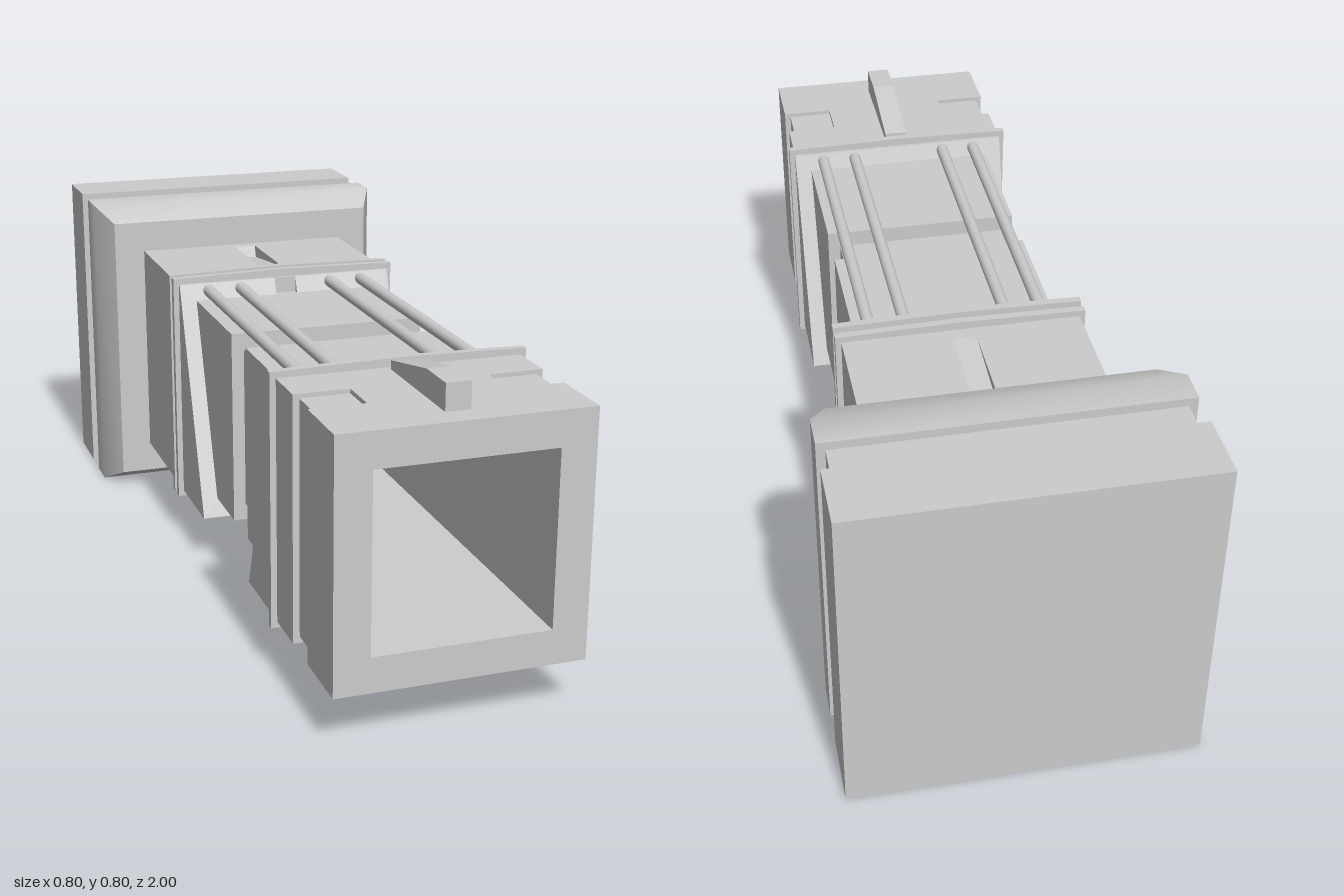
import * as THREE from 'three';
import { mergeGeometries } from 'three/addons/utils/BufferGeometryUtils.js';

const grey = new THREE.MeshStandardMaterial({ color: 0xcccccc });
const greyDouble = new THREE.MeshStandardMaterial({ color: 0xcccccc, side: THREE.DoubleSide });

// Polygon from [x, y] pairs, with an optional centred square hole
function outline(pts, hole = 0) {
  const shape = new THREE.Shape(pts.map(([x, y]) => new THREE.Vector2(x, y)));
  if (hole) {
    const h = [[-1, -1], [-1, 1], [1, 1], [1, -1]];
    shape.holes.push(new THREE.Path(h.map(([x, y]) => new THREE.Vector2(x * hole, 0.4 + y * hole))));
  }
  return shape;
}

const rect = (w, y0, y1) => [[-w, y0], [w, y0], [w, y1], [-w, y1]];

// Extrude a front outline from z0 to z1
function alongZ(shape, z0, z1) {
  return new THREE.ExtrudeGeometry(shape, { depth: z1 - z0, bevelEnabled: false }).translate(0, 0, z0);
}

// Extrude a side profile of [z, y] pairs symmetrically across x
function acrossX(profile, width) {
  const shape = outline(profile.map(([z, y]) => [-z, y]));
  return new THREE.ExtrudeGeometry(shape, { depth: width, bevelEnabled: false })
    .translate(0, 0, -width / 2).rotateY(Math.PI / 2);
}

// Lean one end face: zEnd moves to zBottom at y 0.12 and zTop at y 0.68
function slantEnd(geo, zEnd, zBottom, zTop) {
  const p = geo.attributes.position;
  for (let i = 0; i < p.count; i++) {
    if (Math.abs(p.getZ(i) - zEnd) < 1e-4) {
      p.setZ(i, zBottom + (zTop - zBottom) * (p.getY(i) - 0.12) / 0.56);
    }
  }
  geo.computeVertexNormals();
  return geo;
}

export function createModel() {
  const model = new THREE.Group();
  const add = (name, geo, mat = grey) => {
    const mesh = new THREE.Mesh(geo, mat);
    mesh.name = name;
    model.add(mesh);
    return mesh;
  };

  // Wide end block and the recess in front of it
  add('endBlock', alongZ(outline(rect(0.4, 0, 0.8)), -1, -0.84));
  add('endRecess', alongZ(outline(rect(0.38, 0.025, 0.78)), -0.84, -0.76));

  // Collar with softly shaded bevel: one strip per side
  const sides = [];
  for (let i = 0; i < 4; i++) {
    const strip = new THREE.BufferGeometry();
    const rings = [[0.4, -0.76], [0.4, -0.68], [0.36, -0.6]];
    strip.setAttribute('position', new THREE.Float32BufferAttribute(
      rings.flatMap(([r, z]) => [-r, r, z, r, r, z]), 3));
    strip.setIndex([0, 2, 1, 1, 2, 3, 2, 4, 3, 3, 4, 5]);
    strip.computeVertexNormals();
    sides.push(strip.rotateZ(i * Math.PI / 2).translate(0, 0.4, 0));
  }
  add('collarSides', mergeGeometries(sides));
  add('collarFront', new THREE.PlaneGeometry(0.72, 0.72).translate(0, 0.4, -0.6));
  add('collarBack', new THREE.PlaneGeometry(0.8, 0.8).rotateY(Math.PI).translate(0, 0.4, -0.76));

  // Rear body, slotted on top and leaning at its front
  const slotted = [[-0.28, 0.12], [0.28, 0.12], [0.28, 0.68], [0.028, 0.68],
    [0.028, 0.64], [-0.028, 0.64], [-0.028, 0.68], [-0.28, 0.68]];
  add('rearBody', slantEnd(alongZ(outline(slotted, 0.2), -0.6, 0), 0, 0, -0.2));
  add('slotFloor', acrossX([[-0.6, 0.64], [-0.2, 0.64], [-0.2, 0.68], [-0.3, 0.68],
    [-0.56, 0.65], [-0.57, 0.68], [-0.6, 0.68]], 0.056));

  // Narrow middle section
  add('middleRear', alongZ(outline(rect(0.24, 0.165, 0.64), 0.2), -0.22, 0.14));
  add('middleCore', alongZ(outline(rect(0.21, 0.205, 0.6), 0.19), 0.14, 0.26));
  add('middleFront', alongZ(outline(rect(0.24, 0.165, 0.64), 0.2), 0.26, 0.62));

  // Front body with a waist groove and a leaning rear face
  const full = outline(rect(0.28, 0.12, 0.68), 0.2);
  add('frontBody', slantEnd(alongZ(full, 0.4, 0.74), 0.4, 0.405, 0.6));
  const waist = [[-0.265, 0.135], [0.265, 0.135], [0.265, 0.67], [0.155, 0.67],
    [0.155, 0.68], [-0.155, 0.68], [-0.155, 0.67], [-0.265, 0.67]];
  add('frontWaist', alongZ(outline(waist, 0.2), 0.74, 0.84));
  add('frontRim', alongZ(full, 0.84, 1));

  // Tapering square bore
  const bore = new THREE.CylinderGeometry(0.2 * Math.SQRT2, 0.167 * Math.SQRT2, 1.6, 4, 1, true)
    .rotateY(Math.PI / 4).rotateX(Math.PI / 2).translate(0, 0.4, 0.2).toNonIndexed();
  bore.computeVertexNormals();
  add('bore', bore, greyDouble);

  // Thin bands, slightly crowned at top and bottom
  const band = outline([[-0.294, 0.106], [-0.22, 0.104], [0, 0.1], [0.22, 0.104], [0.294, 0.106],
    [0.294, 0.694], [0.22, 0.696], [0, 0.7], [-0.22, 0.696], [-0.294, 0.694]], 0.24);
  for (const z of [-0.266, -0.226, 0.608]) add('band', alongZ(band, z, z + 0.018));

  // Rods bridging the middle
  for (const x of [-0.205, -0.12, 0.12, 0.205]) {
    add('rod', new THREE.CylinderGeometry(0.015, 0.015, 0.83, 16)
      .rotateX(Math.PI / 2).translate(x, 0.662, 0.2));
  }

  // Sight fin on top of the front body
  add('topFin', acrossX([[0.64, 0.675], [0.94, 0.675], [0.94, 0.74], [0.84, 0.74], [0.64, 0.7]], 0.056));

  return model;
}
